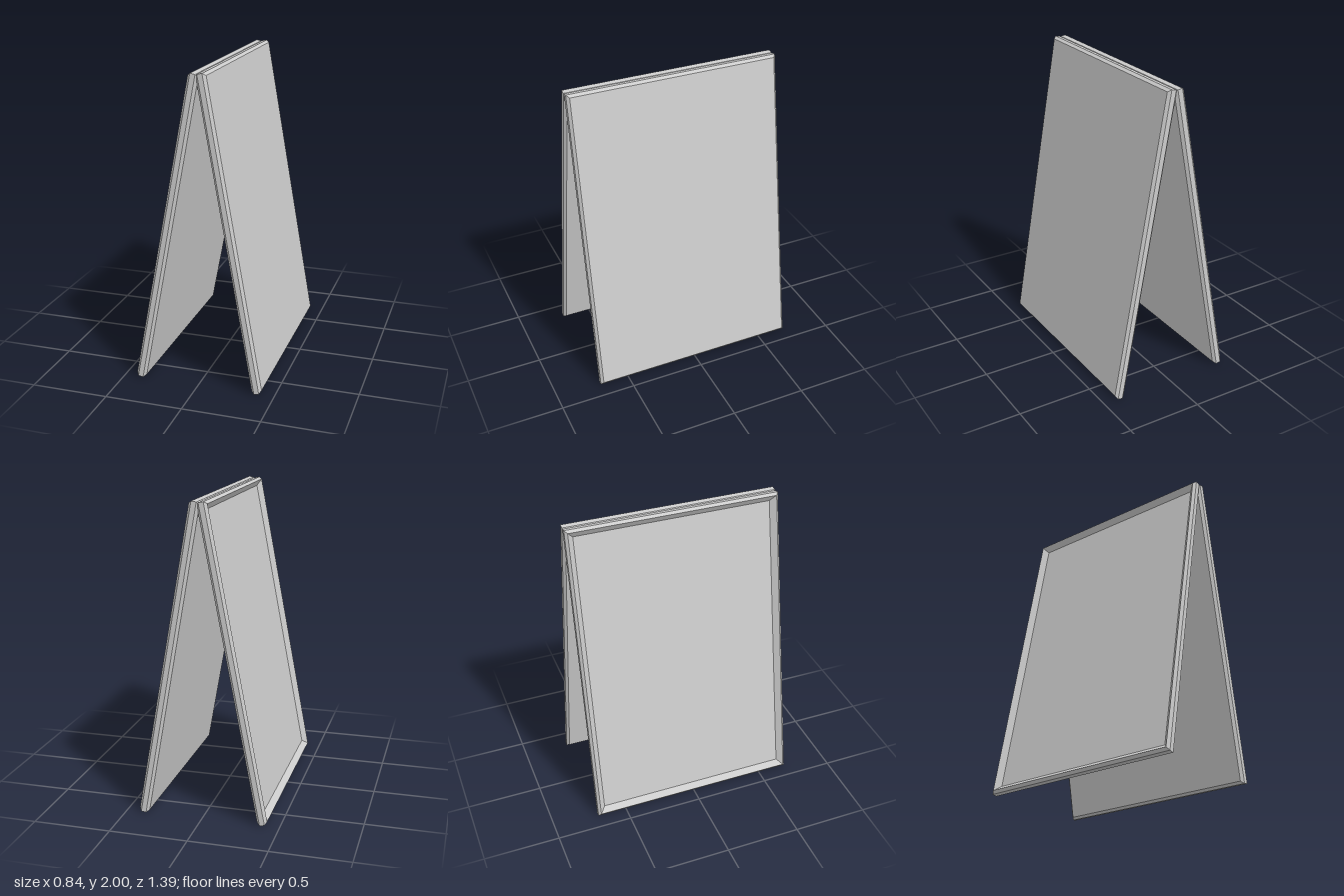
import * as THREE from 'three';

// Panel from rectangular cross-sections stacked along x; each ring is [x, inset]
function panelGeometry(rings, height, width) {
  const pos = [];
  const corners = rings.map(([x, inset]) => {
    const h = height / 2 - inset, w = width / 2 - inset;
    return [[x, -h, w], [x, -h, -w], [x, h, -w], [x, h, w]];
  });
  const quad = (a, b, c, d) => pos.push(...a, ...b, ...c, ...a, ...c, ...d);
  for (let i = 0; i < corners.length - 1; i++) {
    for (let k = 0; k < 4; k++) {
      const n = (k + 1) % 4;
      quad(corners[i][k], corners[i][n], corners[i + 1][n], corners[i + 1][k]);
    }
  }
  const first = corners[0], last = corners[corners.length - 1];
  quad(first[3], first[2], first[1], first[0]);
  quad(last[0], last[1], last[2], last[3]);
  const geometry = new THREE.BufferGeometry();
  geometry.setAttribute('position', new THREE.Float32BufferAttribute(pos, 3));
  geometry.computeVertexNormals();
  return geometry;
}

export function createModel() {
  const group = new THREE.Group();
  group.name = 'sandwichBoard';
  const grey = new THREE.MeshStandardMaterial({ color: 0xcccccc });
  grey.name = 'lightGrey';

  // Chamfered slab, shared by both panels
  const slab = [[-0.033, 0.017], [-0.016, 0], [0.016, 0], [0.033, 0.017]];
  // The recessed panel's outer face slopes in from its rim to a sunken floor
  const recessed = [...slab, [0, 0.053]];

  const addPanel = (name, rings, x, yaw, tilt) => {
    const mesh = new THREE.Mesh(panelGeometry(rings, 2.028, 1.395), grey);
    mesh.name = name;
    mesh.position.set(x, 1, 0);
    mesh.rotation.set(0, yaw, THREE.MathUtils.degToRad(tilt));
    group.add(mesh);
  };
  addPanel('flatPanel', slab, 0.209, 0, 10.1);
  addPanel('recessedPanel', recessed, -0.201, Math.PI, 10.8);
  return group;
}
